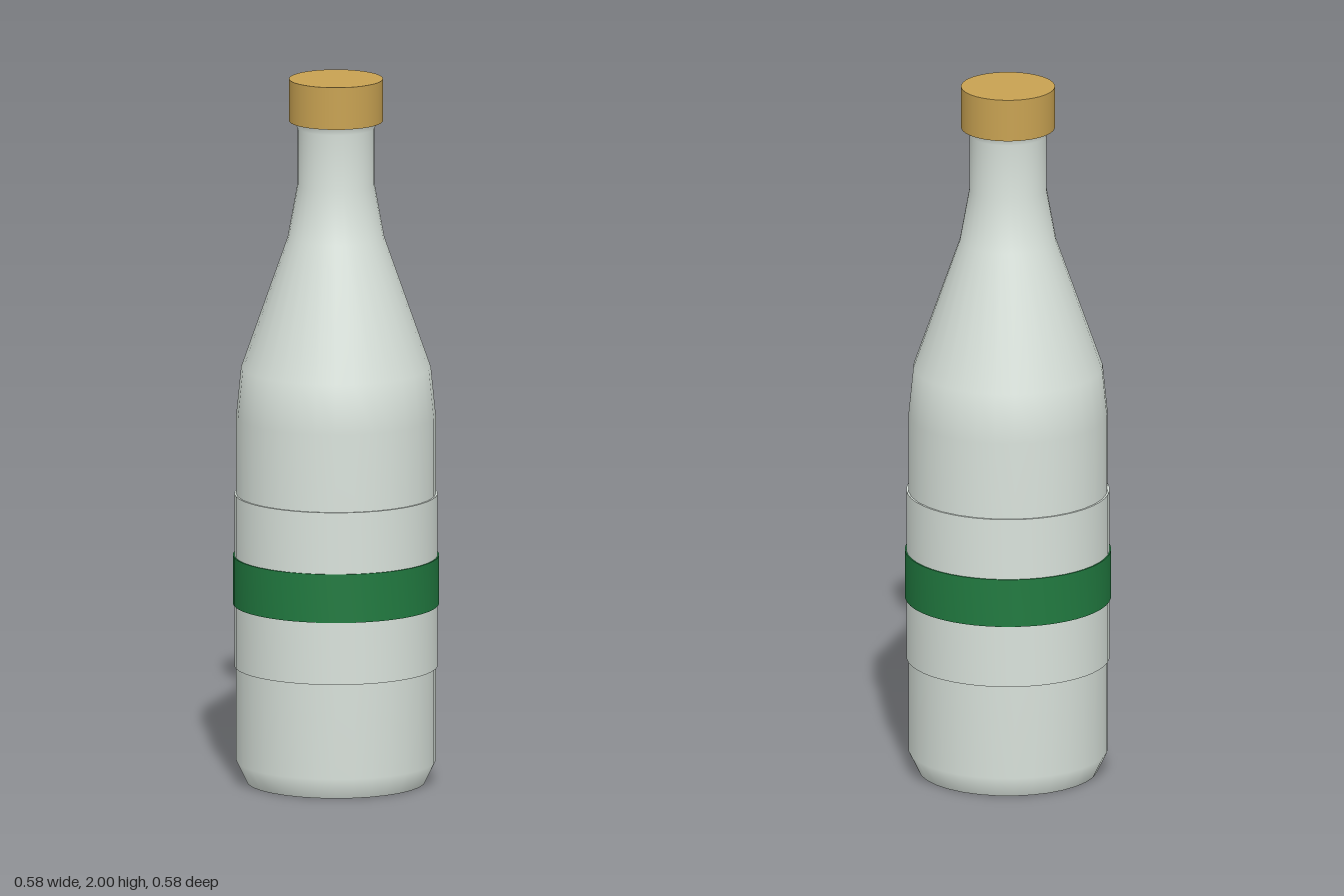
import * as THREE from 'three';
import { toCreasedNormals } from 'three/addons/utils/BufferGeometryUtils.js';

const material = (name, color, side = THREE.FrontSide) => {
  const m = new THREE.MeshStandardMaterial({ color, side });
  m.name = name;
  return m;
};

// Turned part from [radius, height] points, listed bottom to top on the outside
function turned(name, points, segments, mat, crease) {
  let geometry = new THREE.LatheGeometry(points.map(([r, y]) => new THREE.Vector2(r, y)), segments);
  if (crease) geometry = toCreasedNormals(geometry, crease);
  const mesh = new THREE.Mesh(geometry, mat);
  mesh.name = name;
  return mesh;
}

// Thin sleeve with flat rims wrapped round the body
const sleeve = (name, radius, bottom, top, mat) => turned(name, [
  [0.272, bottom], [radius, bottom], [radius, top], [0.272, top],
], 48, mat, 0.6);

export function createModel() {
  const glass = material('pale glass', 0xd9e2db, THREE.DoubleSide);
  const paper = material('pale label', 0xd9e2db);
  const green = material('green', 0x217a40);
  const gold = material('gold', 0xc8a252);
  const amber = material('amber', 0xd98c2e);

  const bottle = new THREE.Group();
  bottle.name = 'bottle';

  // Shell with a chamfered foot, long shoulder and lip, open underneath
  bottle.add(turned('glassBody', [
    [0.25, 0], [0.279, 0.06], [0.279, 1.04], [0.265, 1.18],
    [0.135, 1.55], [0.108, 1.7], [0.108, 1.86], [0.12, 1.885],
  ], 32, glass));

  // Contents, seen through the open foot
  bottle.add(turned('liquid', [
    [0, 0.05], [0.252, 0.05], [0.252, 1.04], [0, 1.04],
  ], 32, amber, 0.6));

  // Label and its stripe
  bottle.add(sleeve('label', 0.284, 0.33, 0.82, paper));
  bottle.add(sleeve('labelStripe', 0.288, 0.507, 0.645, green));

  // Cap
  const cap = new THREE.Mesh(new THREE.CylinderGeometry(0.131, 0.131, 0.12, 48), gold);
  cap.name = 'cap';
  cap.position.y = 1.94;
  bottle.add(cap);

  return bottle;
}
